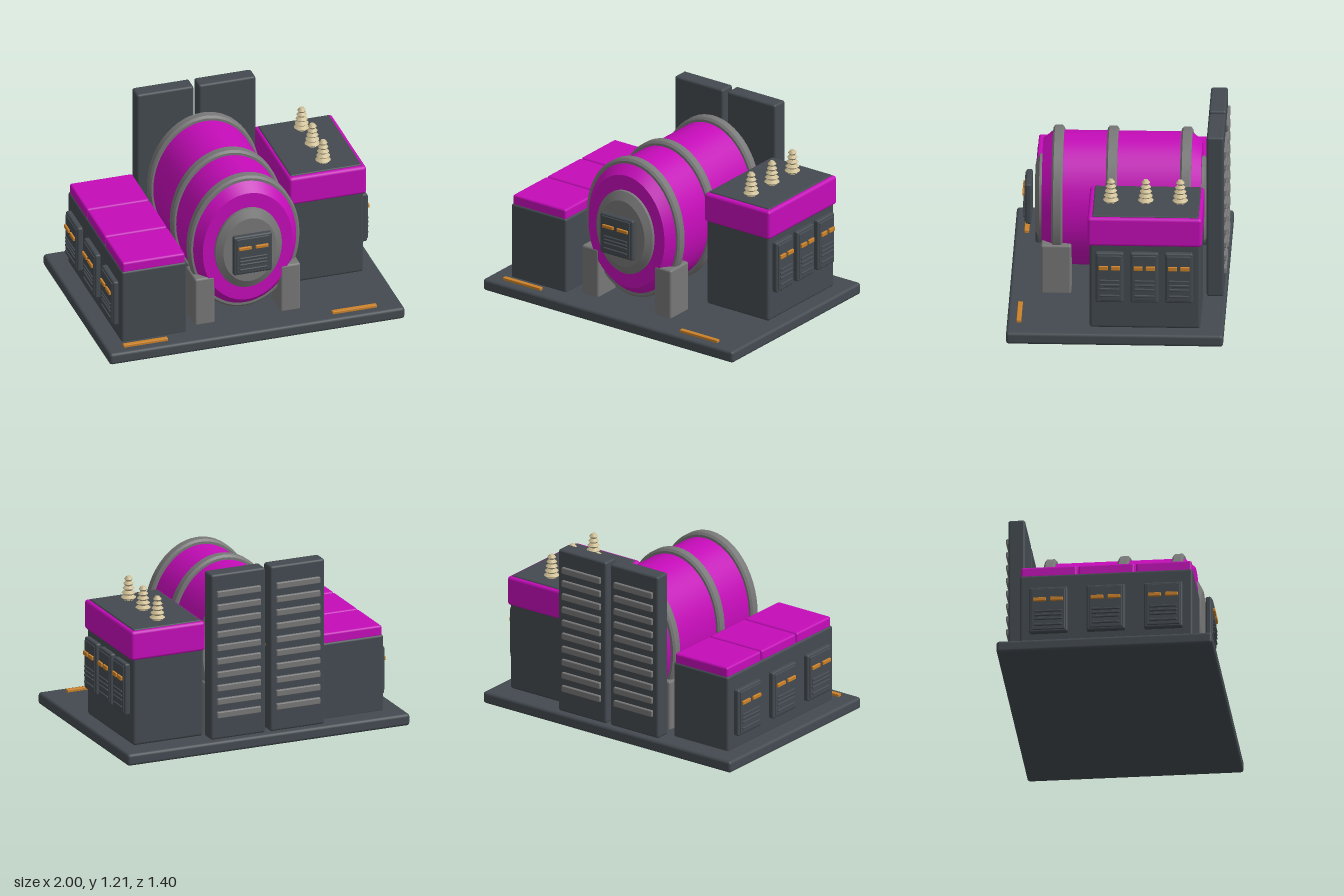
import * as THREE from 'three';
import { RoundedBoxGeometry } from 'three/addons/geometries/RoundedBoxGeometry.js';
import { toCreasedNormals } from 'three/addons/utils/BufferGeometryUtils.js';

function material(name, color) {
  const m = new THREE.MeshStandardMaterial({ color });
  m.name = name;
  return m;
}

export function createModel() {
  const dark = material('dark steel', 0x434a50);
  const magenta = material('magenta paint', 0xc40cb8);
  const grey = material('grey metal', 0x777777);
  const orange = material('orange marking', 0xcc8228);
  const ceramic = material('ceramic', 0xcdbd94);

  const model = new THREE.Group();
  model.name = 'powerGenerator';

  function add(name, geometry, mat, parent = model) {
    const mesh = new THREE.Mesh(geometry, mat);
    mesh.name = name;
    parent.add(mesh);
    return mesh;
  }

  // Rounded box given by its extents on each axis
  function block(name, mat, [x0, x1], [y0, y1], [z0, z1], r = 0.015, parent = model) {
    const g = new RoundedBoxGeometry(x1 - x0, y1 - y0, z1 - z0, 2, r);
    g.translate((x0 + x1) / 2, (y0 + y1) / 2, (z0 + z1) / 2);
    return add(name, g, mat, parent);
  }

  // Turned part from [radius, height] pairs, with crisp profile edges
  function turned(profile, segments) {
    const pts = profile.map(([r, h]) => new THREE.Vector2(r, h));
    return toCreasedNormals(new THREE.LatheGeometry(pts, segments), 0.35);
  }

  // Oval part lying along z
  const drum = new THREE.Group();
  drum.name = 'drum';
  drum.position.y = 0.6;
  model.add(drum);
  function oval(name, mat, profile) {
    const g = turned(profile, 56);
    g.rotateX(Math.PI / 2);
    g.scale(1, 1.28, 1);
    return add(name, g, mat, drum);
  }

  // Control panel facing +z, its back at z = 0
  function controlPanel(w, h) {
    const p = new THREE.Group();
    p.name = 'controlPanel';
    block('panelHousing', dark, [-w / 2, w / 2], [-h / 2, h / 2], [0, 0.04], 0.012, p);
    block('panelFace', dark, [-w * 0.43, w * 0.43], [-h * 0.45, h * 0.45], [0.03, 0.047], 0.005, p);
    for (const s of [-1, 1]) {
      block('indicator', orange, [s * w * 0.22 - w * 0.165, s * w * 0.22 + w * 0.165],
        [h * 0.17, h * 0.25], [0.04, 0.06], 0.004, p);
    }
    for (const f of [-0.05, -0.135, -0.22, -0.35]) {
      block('ventSlat', dark, [-w * 0.36, w * 0.36],
        [h * f - 0.007, h * f + 0.007], [0.04, 0.056], 0.005, p);
    }
    model.add(p);
    return p;
  }

  // Base plate and floor markings
  block('base', dark, [-1, 1], [0, 0.08], [-0.7, 0.7], 0.02);
  for (const x of [-0.735, 0.68]) {
    block('floorMarking', orange, [x - 0.15, x + 0.15], [0.075, 0.097], [0.607, 0.638], 0.004);
  }

  // Drum shell, bands and end caps
  oval('drumShell', magenta, [[0, -0.53], [0.305, -0.53], [0.35, -0.46], [0.35, 0.43], [0.305, 0.495], [0, 0.495]]);
  for (const z of [-0.432, 0.045, 0.395]) {
    oval('drumBand', grey, [
      [0.33, z - 0.036], [0.363, z - 0.036], [0.375, z - 0.024],
      [0.375, z + 0.024], [0.363, z + 0.036], [0.33, z + 0.036]]);
  }
  oval('frontCap', grey, [[0.225, 0.48], [0.225, 0.515], [0.18, 0.543], [0, 0.543]]);
  oval('rearCap', grey, [[0, -0.572], [0.18, -0.572], [0.225, -0.548], [0.225, -0.52]]);
  controlPanel(0.26, 0.28).position.set(0, 0.6, 0.566);
  const rearPanel = controlPanel(0.26, 0.28);
  rearPanel.position.set(0, 0.6, -0.545);
  rearPanel.rotation.y = Math.PI;

  // Drum feet
  for (const s of [-1, 1]) {
    for (const z of [-0.4, 0.4]) {
      block('drumFoot', grey, [s * 0.29 - 0.068, s * 0.29 + 0.068], [0.07, 0.415], [z - 0.098, z + 0.098]);
    }
  }

  // Connecting pipe between drum and transformer
  const pipe = new THREE.CylinderGeometry(0.035, 0.035, 0.12, 20);
  pipe.rotateZ(Math.PI / 2);
  add('connectingPipe', pipe, grey).position.set(0.38, 0.55, -0.21);

  // Long cabinet with three lids and panels
  block('cabinetBody', dark, [-0.875, -0.435], [0.07, 0.592], [-0.56, 0.56]);
  for (const z of [-0.372, 0, 0.372]) {
    block('cabinetLid', magenta, [-0.867, -0.443], [0.58, 0.655], [z - 0.181, z + 0.181], 0.014);
    const p = controlPanel(0.25, 0.32);
    p.position.set(-0.872, 0.33, z);
    p.rotation.y = -Math.PI / 2;
  }

  // Transformer with its lid, top plate, panels and insulators
  block('transformerBody', dark, [0.397, 0.893], [0.08, 0.68], [-0.55, 0.165], 0.018);
  block('transformerLid', magenta, [0.385, 0.91], [0.66, 0.858], [-0.56, 0.178], 0.02);
  block('transformerTopPlate', dark, [0.405, 0.885], [0.845, 0.866], [-0.538, 0.147], 0.008);

  const sheds = [[0, 0.855], [0.04, 0.855]];
  for (let i = 0; i < 5; i++) {
    const y = 0.868 + i * 0.031;
    const r = 0.05 - i * 0.0055;
    sheds.push([r * 0.62, y], [r, y + 0.014], [r * 0.62, y + 0.028]);
  }
  sheds.push([0.014, 1.025], [0, 1.025]);
  const insulator = turned(sheds, 20);
  for (const z of [-0.412, -0.19, 0.035]) {
    add('insulator', insulator, ceramic).position.set(0.66, 0, z);
    const p = controlPanel(0.18, 0.35);
    p.position.set(0.892, 0.45, z);
    p.rotation.y = Math.PI / 2;
  }

  // Rear radiators with ten slats each
  for (const s of [-1, 1]) {
    const x = s * 0.21;
    block('radiator', dark, [x - 0.193, x + 0.193], [0.09, 1.212], [-0.683, -0.573]);
    for (let i = 0; i < 10; i++) {
      const y = 0.257 + i * 0.0912;
      block('radiatorSlat', grey, [x - 0.155, x + 0.155], [y - 0.022, y + 0.022], [-0.7, -0.67], 0.007);
    }
  }

  return model;
}
